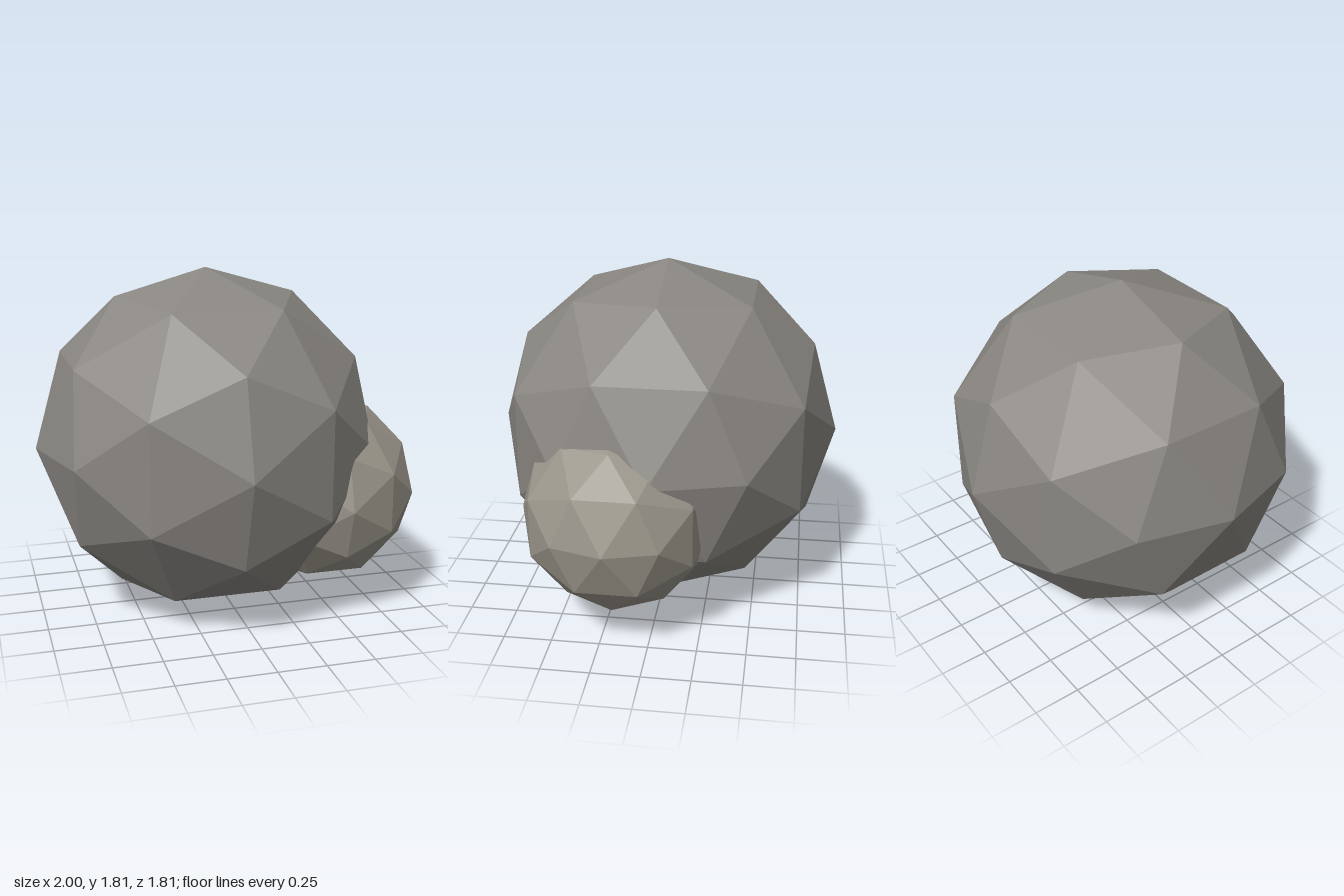
import * as THREE from 'three';

// A faceted boulder: a once-subdivided icosahedron
function boulder(name, radius, position, color) {
  const mesh = new THREE.Mesh(
    new THREE.IcosahedronGeometry(radius, 1),
    new THREE.MeshStandardMaterial({ color, flatShading: true })
  );
  mesh.name = name;
  mesh.position.set(...position);
  return mesh;
}

export function createModel() {
  const group = new THREE.Group();
  group.name = 'rocks';
  // Large rock with a smaller one sunk into its lower left side
  group.add(boulder('largeRock', 0.907, [-0.093, 0.907, 0], 0x8a8782));
  group.add(boulder('smallRock', 0.5, [0.5, 0.64, 0.18], 0x9a958a));
  return group;
}
